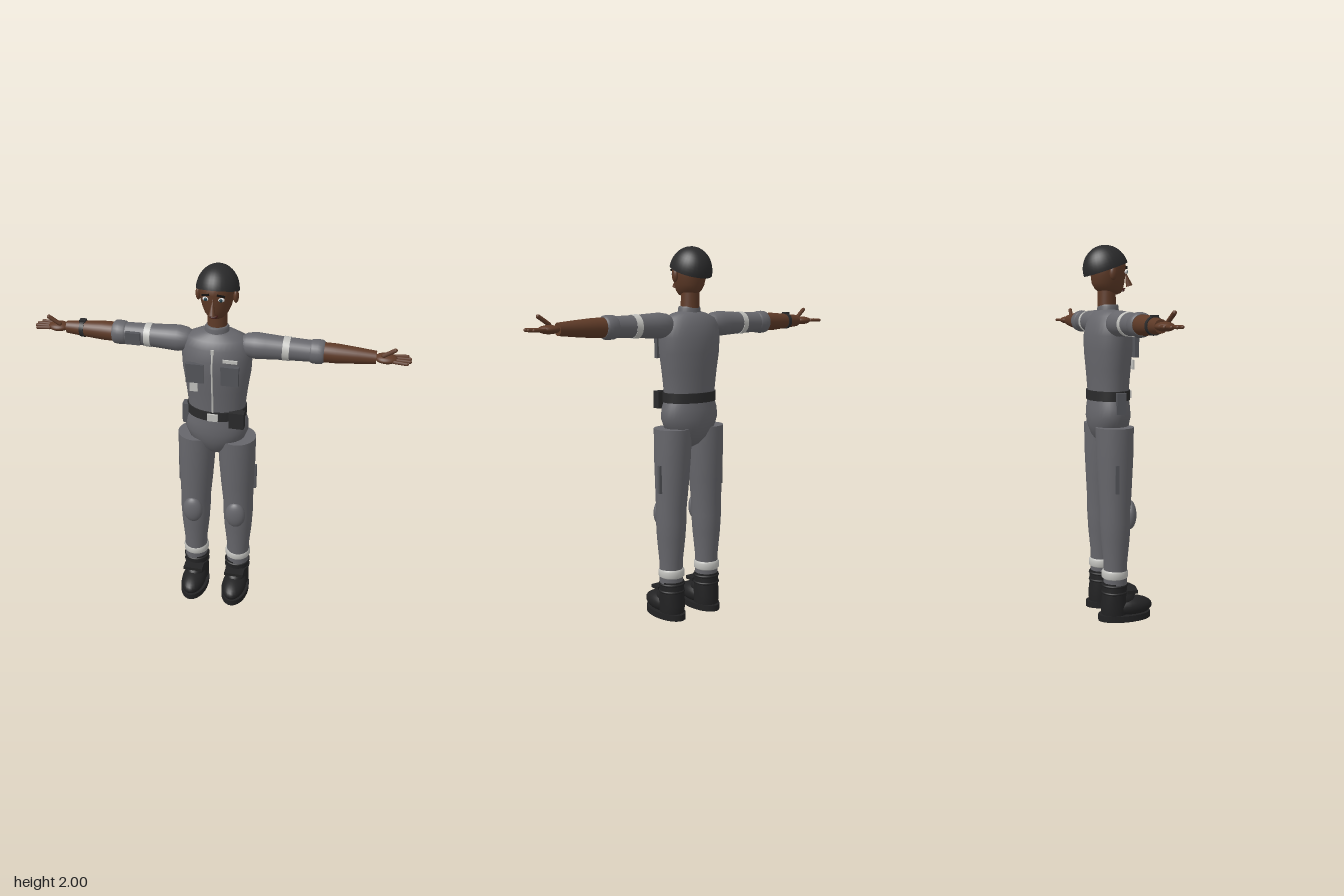
import * as THREE from 'three';

const mat = (name, color) => {
  const m = new THREE.MeshStandardMaterial({ color });
  m.name = name;
  return m;
};
const M = {
  suit: mat('suit grey', 0x66666b),
  pocket: mat('pocket grey', 0x55565b),
  black: mat('cap black', 0x2a2a2b),
  boot: mat('boot black', 0x222223),
  skin: mat('skin brown', 0x5e3a27),
  light: mat('reflective grey', 0xc2c2be),
  white: mat('eye white', 0xd8d8d8),
  iris: mat('iris blue', 0x23404a),
  dark: mat('brow black', 0x14110f),
  lip: mat('lip red', 0x431a17),
};

function add(parent, name, geo, material, x = 0, y = 0, z = 0, rx = 0, ry = 0, rz = 0) {
  const m = new THREE.Mesh(geo, material);
  m.name = name;
  m.position.set(x, y, z);
  m.rotation.set(rx, ry, rz);
  parent.add(m);
  return m;
}
const box = (w, h, d) => new THREE.BoxGeometry(w, h, d);
const ball = (rx, ry, rz) => new THREE.SphereGeometry(1, 24, 16).scale(rx, ry, rz);

// Elliptical rings [y, rx, rz, cx, cz] joined from bottom to top, closed at both ends
function loft(rings, n = 28) {
  const pos = [], idx = [];
  const flat = (r) => [r[0], 0.0005, 0.0005, r[3] || 0, r[4] || 0];
  const first = rings[0], last = rings[rings.length - 1];
  const all = [flat(first), first, ...rings, last, flat(last)];
  all.forEach(([y, rx, rz, cx = 0, cz = 0], j) => {
    for (let i = 0; i < n; i++) {
      const a = (i / n) * Math.PI * 2;
      pos.push(cx + Math.cos(a) * rx, y, cz + Math.sin(a) * rz);
      // doubled end rings keep the rims sharp
      if (j === 0 || j === 1 || j === all.length - 2) continue;
      const k = (i + 1) % n, p = (j - 1) * n, q = j * n;
      if (j === 2) continue;
      idx.push(p + i, q + i, p + k, p + k, q + i, q + k);
    }
  });
  const cap = (p, q) => {
    for (let i = 0; i < n; i++) {
      const k = (i + 1) % n;
      idx.push(p + i, q + i, p + k, p + k, q + i, q + k);
    }
  };
  cap(0, n);
  const g = new THREE.BufferGeometry();
  g.setAttribute('position', new THREE.Float32BufferAttribute(pos, 3));
  g.setIndex(idx);
  g.computeVertexNormals();
  return g;
}

function buildHead(root) {
  const head = new THREE.Group();
  head.name = 'head';
  root.add(head);
  add(head, 'neck', loft([[1.63, 0.052, 0.05, 0, -0.007], [1.78, 0.048, 0.047, 0, -0.007]]), M.skin);
  add(head, 'skull', loft([
    [1.743, 0.022, 0.03, 0, 0.02], [1.75, 0.042, 0.055, 0, 0.015], [1.77, 0.06, 0.075, 0, 0.005],
    [1.8, 0.073, 0.087], [1.84, 0.083, 0.092], [1.88, 0.087, 0.096], [1.92, 0.084, 0.092], [1.96, 0.06, 0.06]]), M.skin);
  // Tilted dome cap with a closed underside
  const cap = new THREE.Group();
  cap.name = 'cap';
  cap.position.set(0, 1.872, -0.012);
  cap.rotation.x = -0.33;
  head.add(cap);
  add(cap, 'capDome', new THREE.SphereGeometry(1, 32, 12, 0, Math.PI * 2, 0, Math.PI / 2).scale(0.107, 0.127, 0.122), M.black);
  add(cap, 'capUnderside', new THREE.CircleGeometry(1, 32).scale(0.107, 0.122, 1), M.black, 0, 0, 0, Math.PI / 2);
  add(head, 'nose', new THREE.ConeGeometry(0.018, 0.085, 14), M.skin, 0, 1.828, 0.106, -0.3);
  add(head, 'upperLip', ball(0.022, 0.005, 0.01), M.lip, 0, 1.772, 0.084);
  add(head, 'lowerLip', ball(0.018, 0.006, 0.01), M.lip, 0, 1.763, 0.08);
  for (const s of [-1, 1]) {
    add(head, 'ear', ball(0.014, 0.035, 0.02), M.skin, s * 0.094, 1.85, 0);
    add(head, 'eye', ball(0.017, 0.011, 0.01), M.white, s * 0.038, 1.86, 0.084);
    add(head, 'iris', ball(0.008, 0.009, 0.005), M.iris, s * 0.038, 1.86, 0.092);
    add(head, 'brow', box(0.04, 0.008, 0.009), M.dark, s * 0.038, 1.882, 0.09, 0, s * 0.3, -s * 0.25);
  }
}

function buildTorso(root) {
  add(root, 'torso', loft([
    [1.18, 0.15, 0.105], [1.25, 0.152, 0.107], [1.35, 0.163, 0.115], [1.45, 0.178, 0.124], [1.53, 0.182, 0.124],
    [1.59, 0.178, 0.11], [1.63, 0.155, 0.09], [1.655, 0.1, 0.065], [1.668, 0.04, 0.04]], 36), M.suit);
  add(root, 'collar', loft([[1.645, 0.064, 0.058], [1.68, 0.062, 0.056], [1.69, 0.055, 0.052]]), M.suit);
  add(root, 'pelvis', loft([
    [0.94, 0.015, 0.02], [0.96, 0.055, 0.055], [1.0, 0.11, 0.088], [1.05, 0.15, 0.107],
    [1.1, 0.17, 0.115], [1.15, 0.167, 0.112], [1.2, 0.15, 0.106]], 36), M.suit);
  // Belt and what hangs on it
  add(root, 'belt', loft([[1.188, 0.158, 0.113], [1.24, 0.158, 0.113]], 36), M.black);
  add(root, 'buckle', box(0.055, 0.04, 0.012), M.light, 0, 1.213, 0.117);
  add(root, 'beltPouch', box(0.08, 0.092, 0.045), M.black, 0.122, 1.198, 0.082);
  add(root, 'radio', box(0.035, 0.112, 0.05), M.pocket, -0.16, 1.178, 0.02);
  // Chest details
  const zip = [[1.24, 0.109], [1.35, 0.117], [1.45, 0.126], [1.53, 0.126], [1.6, 0.108]];
  const curve = new THREE.CatmullRomCurve3(zip.map(([y, z]) => new THREE.Vector3(0, y, z)));
  add(root, 'zip', new THREE.TubeGeometry(curve, 20, 0.005, 8), M.light);
  add(root, 'zipPull', box(0.016, 0.025, 0.009), M.light, 0, 1.59, 0.116);
  for (const s of [-1, 1]) {
    add(root, 'chestPocket', box(0.09, 0.1, 0.022), M.pocket, s * 0.09, 1.465, 0.117);
    add(root, 'pocketFlap', box(0.092, 0.024, 0.026), M.pocket, s * 0.09, 1.508, 0.117);
  }
  add(root, 'nameTape', box(0.075, 0.016, 0.009), M.light, 0.09, 1.547, 0.117);
  add(root, 'badge', box(0.042, 0.05, 0.009), M.light, -0.1, 1.378, 0.103);
}

// Each arm is built along +y and then turned outward
function buildArm(root, s) {
  const arm = new THREE.Group();
  arm.name = s > 0 ? 'leftArm' : 'rightArm';
  arm.position.y = 1.594;
  arm.rotation.z = -s * Math.PI / 2;
  root.add(arm);
  add(arm, 'sleeve', loft([
    [0.13, 0.045, 0.045], [0.155, 0.06, 0.06], [0.2, 0.067, 0.067], [0.25, 0.064, 0.064],
    [0.35, 0.058, 0.058], [0.48, 0.054, 0.054]]), M.suit);
  add(arm, 'sleeveCuff', loft([
    [0.472, 0.053, 0.053], [0.482, 0.06, 0.06], [0.51, 0.062, 0.062], [0.532, 0.06, 0.06], [0.542, 0.052, 0.052]]), M.suit);
  add(arm, 'sleeveBand', loft([[0.338, 0.062, 0.062], [0.372, 0.06, 0.06]]), M.light);
  add(arm, 'forearm', loft([
    [0.52, 0.05, 0.05], [0.6, 0.049, 0.049], [0.7, 0.041, 0.041], [0.795, 0.032, 0.032]]), M.skin);
  // Hand: flat palm, fanned fingers and a raised thumb
  add(arm, 'palm', ball(0.022, 0.056, 0.045), M.skin, 0, 0.842, 0);
  for (let i = 0; i < 4; i++) {
    const f = i - 1.5, len = i % 3 ? 0.075 : 0.062;
    add(arm, 'finger', new THREE.CapsuleGeometry(0.0085, len, 4, 10), M.skin, 0, 0.882 + len / 2, f * 0.025, f * 0.1);
  }
  add(arm, 'thumb', new THREE.CapsuleGeometry(0.011, 0.065, 4, 10), M.skin, -s * 0.042, 0.855, 0.025, 0.15, 0, s * 0.62);
  if (s < 0) {
    add(arm, 'watchBand', loft([[0.697, 0.045, 0.045], [0.72, 0.043, 0.043]]), M.black);
    add(arm, 'watchFace', box(0.03, 0.032, 0.012), M.black, 0.044, 0.708, 0, 0, Math.PI / 2);
    add(arm, 'sleevePocket', box(0.064, 0.078, 0.022), M.pocket, 0, 0.425, 0.057);
  }
}

function buildLeg(root, s) {
  const leg = new THREE.Group();
  leg.name = s > 0 ? 'leftLeg' : 'rightLeg';
  root.add(leg);
  const rings = [[0.19, 0.064, 0.124], [0.32, 0.064, 0.124], [0.45, 0.077, 0.123], [0.55, 0.083, 0.122],
    [0.62, 0.083, 0.121], [0.75, 0.091, 0.116], [0.9, 0.099, 0.112], [1.05, 0.102, 0.109]];
  add(leg, 'trouserLeg', loft(rings.map(([y, r, x]) => [y, r, r, s * x, 0.003])), M.suit);
  add(leg, 'kneePad', ball(0.056, 0.08, 0.035), M.suit, s * 0.121, 0.575, 0.083);
  add(leg, 'thighPocket', box(0.07, 0.15, 0.018), M.pocket, s * 0.183, 0.785, -0.015);
  add(leg, 'ankleBand', loft([
    [0.232, 0.062, 0.062, s * 0.123], [0.24, 0.071, 0.071, s * 0.123],
    [0.27, 0.071, 0.071, s * 0.123], [0.28, 0.064, 0.064, s * 0.123]]), M.light);

  // Boot: shaft, rounded foot, oval sole and straps
  const boot = new THREE.Group();
  boot.name = 'boot';
  boot.position.x = s * 0.121;
  leg.add(boot);
  add(boot, 'bootShaft', loft([
    [0.03, 0.066, 0.072], [0.08, 0.069, 0.076], [0.14, 0.067, 0.069], [0.21, 0.066, 0.066]]), M.boot);
  add(boot, 'bootFoot', ball(0.069, 0.055, 0.132), M.boot, 0, 0.068, 0.08);
  add(boot, 'instep', ball(0.052, 0.05, 0.075), M.boot, 0, 0.11, 0.05, 0.5);
  add(boot, 'sole', new THREE.CylinderGeometry(1, 1, 0.034, 32).scale(0.078, 1, 0.146), M.boot, 0, 0.017, 0.055);
  for (const y of [0.155, 0.195]) {
    add(boot, 'bootRing', new THREE.TorusGeometry(0.066, 0.007, 8, 28), M.boot, 0, y, 0, Math.PI / 2);
  }
  add(boot, 'bootStrap', box(0.11, 0.018, 0.06), M.boot, 0, 0.157, 0.085);
}

export function createModel() {
  const model = new THREE.Group();
  model.name = 'uniformedFigure';
  const body = new THREE.Group();
  body.name = 'body';
  body.rotation.y = -0.229;
  model.add(body);
  buildHead(body);
  buildTorso(body);
  for (const s of [-1, 1]) {
    buildArm(body, s);
    buildLeg(body, s);
  }
  return model;
}
